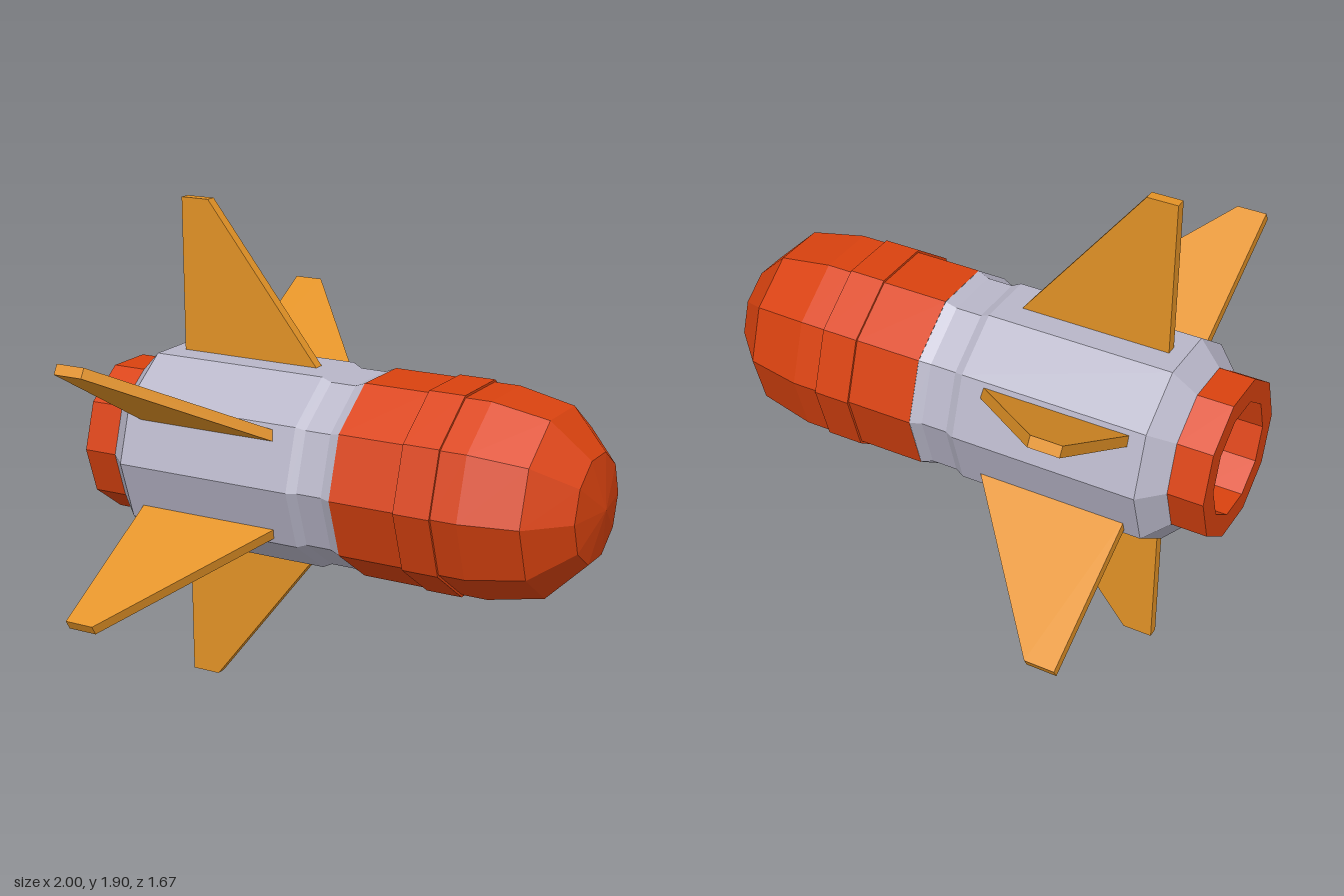
import * as THREE from 'three';

const mat = (name, color) => {
  const m = new THREE.MeshStandardMaterial({ color, flatShading: true });
  m.name = name;
  return m;
};

export function createModel() {
  const red = mat('red', 0xd9420f);
  const grey = mat('grey', 0xb8b6c8);
  const orange = mat('orange', 0xe29226);

  const rocket = new THREE.Group();
  rocket.name = 'rocket';
  rocket.position.y = 0.95;

  // Ten-sided part turned about the long axis; profile points are [x, radius]
  const turned = (name, material, profile) => {
    const points = profile.map(([x, r]) => new THREE.Vector2(r, x));
    const geometry = new THREE.LatheGeometry(points, 10).rotateZ(-Math.PI / 2);
    const mesh = new THREE.Mesh(geometry, material);
    mesh.name = name;
    rocket.add(mesh);
  };

  // Hollow tail ring, open to the rear
  turned('nozzle', red, [[-0.865, 0.215], [-1, 0.215], [-1, 0.3], [-0.865, 0.3]]);

  // Body with a tapered tail and a shallow groove near the front
  turned('body', grey, [
    [-0.865, 0], [-0.865, 0.3], [-0.78, 0.385], [-0.065, 0.385],
    [-0.03, 0.368], [0.07, 0.368], [0.112, 0.385],
  ]);

  // Nose section with a raised band and a blunt tip
  turned('nose', red, [
    [0.112, 0.386], [0.37, 0.386], [0.37, 0.395], [0.51, 0.395], [0.51, 0.386],
    [0.61, 0.386], [0.825, 0.343], [0.965, 0.2], [1, 0],
  ]);

  // Six swept fins, their roots sunk into the body
  const outline = new THREE.Shape([
    [-0.72, 0.34], [-0.126, 0.34], [-0.605, 0.95], [-0.72, 0.95],
  ].map(([x, y]) => new THREE.Vector2(x, y)));
  const finGeometry = new THREE.ExtrudeGeometry(outline, { depth: 0.04, bevelEnabled: false })
    .translate(0, 0, -0.02);
  for (let i = 0; i < 6; i++) {
    const fin = new THREE.Mesh(finGeometry, orange);
    fin.name = `fin${i + 1}`;
    fin.rotation.x = (i * Math.PI) / 3;
    rocket.add(fin);
  }

  const model = new THREE.Group();
  model.name = 'model';
  model.add(rocket);
  return model;
}
